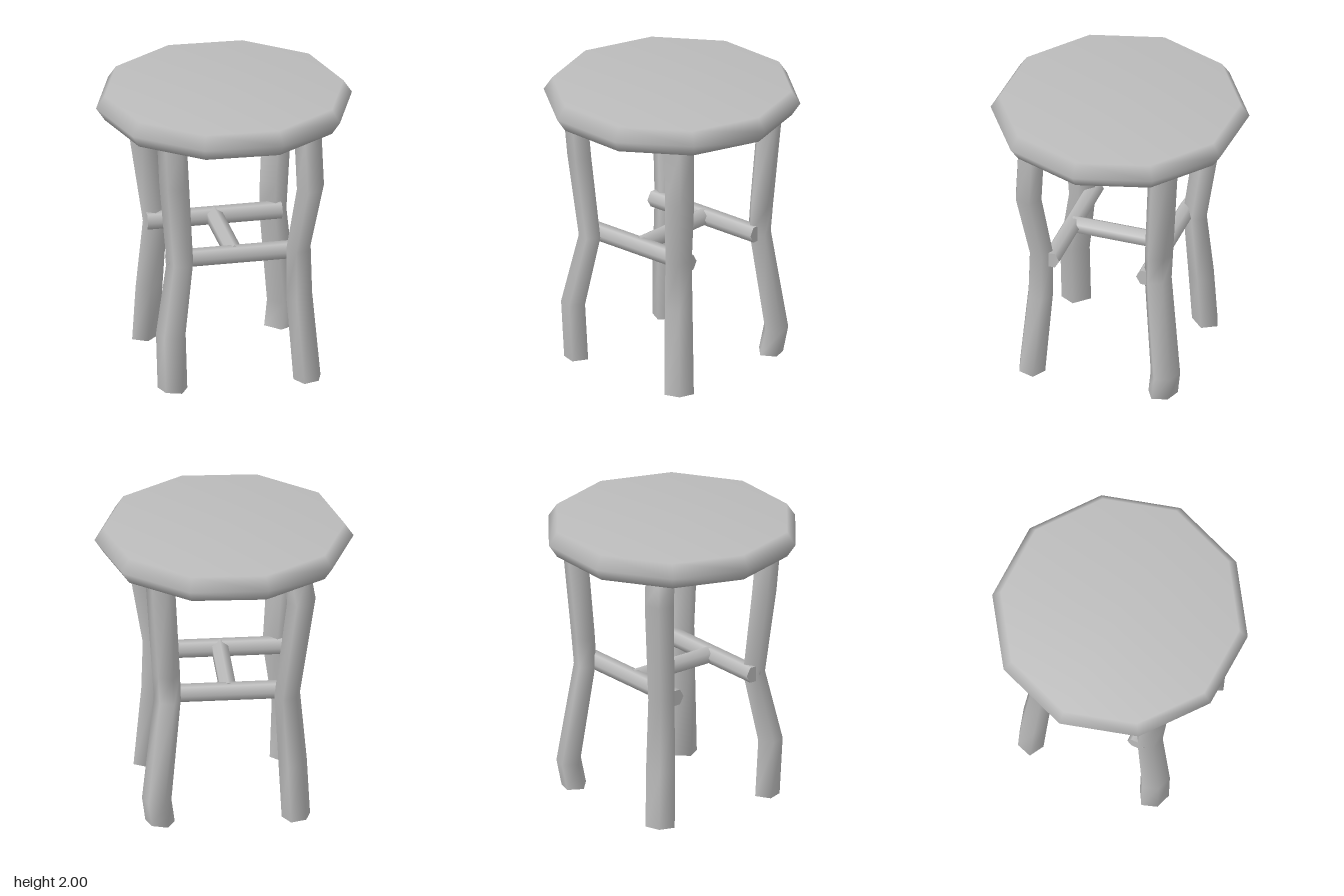
import * as THREE from 'three';

// Five-sided leg cross-section: [outward, sideways]
const SECTION = [[0.08, 0], [0.03, 0.1], [-0.08, 0.07], [-0.08, -0.07], [0.03, -0.1]];
const RUNG_Y = 0.91;

// Each leg: corner signs, then [height, distance along both x and z, thickness]
const LEGS = [
  { name: 'frontLeftLeg', sx: 1, sz: 1, path: [[0, 0.48, 1], [0.6, 0.435, 0.95], [0.95, 0.43, 0.9], [1.42, 0.5, 1], [1.83, 0.485, 1]] },
  { name: 'backRightLeg', sx: -1, sz: -1, path: [[0, 0.47, 1], [0.4, 0.45, 1], [0.9, 0.415, 0.9], [1.65, 0.505, 1], [1.83, 0.475, 1]] },
  { name: 'frontRightLeg', sx: -1, sz: 1, path: [[0, 0.47, 1], [0.41, 0.485, 1], [0.9, 0.405, 0.9], [1.5, 0.455, 1], [1.83, 0.475, 1]] },
  { name: 'backLeftLeg', sx: 1, sz: -1, path: [[0, 0.475, 1], [0.18, 0.5, 1], [0.9, 0.42, 0.92], [1.1, 0.43, 0.95], [1.83, 0.475, 1]] },
];

// Crooked leg lofted through its rings, with a flat foot
function legGeometry({ sx, sz, path }) {
  const n = SECTION.length;
  const dx = sx * Math.SQRT1_2, dz = sz * Math.SQRT1_2;
  const pos = [], index = [];
  const ring = ([y, r, k]) => {
    for (const [u, v] of SECTION) {
      pos.push(sx * r + 0.01 + k * (u * dx - v * dz), y, sz * r + k * (u * dz + v * dx));
    }
  };
  path.forEach(ring);
  for (let s = 0; s < path.length - 1; s++) {
    for (let i = 0; i < n; i++) {
      const a = s * n + i, b = s * n + (i + 1) % n;
      index.push(a, a + n, b, a + n, b + n, b);
    }
  }
  // Separate end rings keep the cap edges sharp
  const foot = path.length * n, head = foot + n;
  ring(path[0]);
  ring(path[path.length - 1]);
  for (let i = 1; i < n - 1; i++) {
    index.push(foot, foot + i, foot + i + 1, head, head + i + 1, head + i);
  }
  const g = new THREE.BufferGeometry();
  g.setAttribute('position', new THREE.Float32BufferAttribute(pos, 3));
  g.setIndex(index);
  g.computeVertexNormals();
  return g;
}

export function createModel() {
  const stool = new THREE.Group();
  stool.name = 'stool';
  const grey = new THREE.MeshStandardMaterial({ color: 0xbcbcbc });
  grey.name = 'plain grey';

  const add = (name, geometry) => {
    const mesh = new THREE.Mesh(geometry, grey);
    mesh.name = name;
    stool.add(mesh);
    return mesh;
  };

  // Ten-sided seat with bevelled rim
  const profile = [[0, 1.82], [0.825, 1.82], [0.885, 1.91], [0.825, 2], [0, 2]]
    .map(([r, y]) => new THREE.Vector2(r, y));
  add('seat', new THREE.LatheGeometry(profile, 10, THREE.MathUtils.degToRad(15.4)));

  // Legs
  for (const leg of LEGS) add(leg.name, legGeometry(leg));

  // Front and back rungs, joined by a cross rung in the middle
  const rung = (name, length) => {
    const mesh = add(name, new THREE.CylinderGeometry(0.063, 0.063, length, 6));
    mesh.position.y = RUNG_Y;
    return mesh;
  };
  for (const [name, z] of [['frontRung', 0.34], ['backRung', -0.34]]) {
    const r = rung(name, 0.94);
    r.rotation.z = Math.PI / 2;
    r.position.z = z;
  }
  rung('crossRung', 0.68).rotation.x = Math.PI / 2;

  return stool;
}
